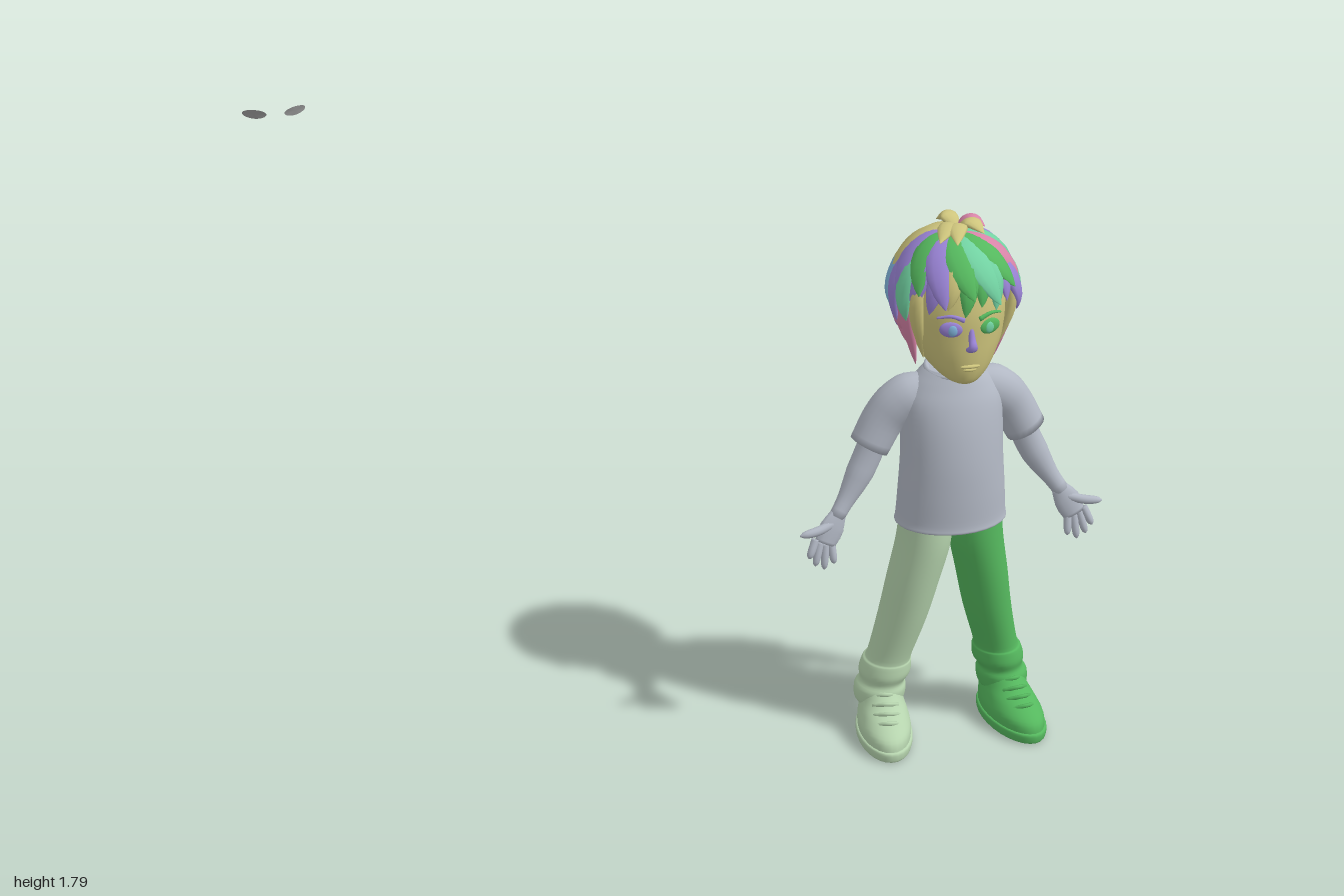
import * as THREE from 'three';

const mat = (name, color, side = THREE.FrontSide) =>
  Object.assign(new THREE.MeshStandardMaterial({ color, side }), { name });
const M = {
  grey: mat('cloth grey', 0xb2b8c4), pale: mat('pale green', 0xb6d4ae), green: mat('green', 0x55b85e),
  sand: mat('sand', 0xcdc47c), purple: mat('purple', 0x9a84d6), pink: mat('pink', 0xd884a8),
  teal: mat('teal', 0x72d2a2), blue: mat('blue', 0x82b6de), orange: mat('orange', 0xd2a07a),
  disc: mat('disc grey', 0x9c9c9c, THREE.DoubleSide),
};
const V = (x, y, z) => new THREE.Vector3(x, y, z);

// Skin a list of rings and close both ends
function loft(rings) {
  const n = rings[0].length, pos = [], idx = [];
  rings.forEach(r => r.forEach(p => pos.push(p.x, p.y, p.z)));
  for (let i = 0; i < rings.length - 1; i++)
    for (let j = 0; j < n; j++) {
      const k = (j + 1) % n, a = i * n + j, b = i * n + k;
      idx.push(a, b, b + n, a, b + n, a + n);
    }
  [rings[0], rings.at(-1)].forEach((r, e) => {
    const c = r.reduce((s, p) => s.add(p), V(0, 0, 0)).divideScalar(n);
    const base = e ? (rings.length - 1) * n : 0, m = pos.length / 3;
    pos.push(c.x, c.y, c.z);
    for (let j = 0; j < n; j++) {
      const k = (j + 1) % n;
      e ? idx.push(m, base + j, base + k) : idx.push(m, base + k, base + j);
    }
  });
  const g = new THREE.BufferGeometry();
  g.setAttribute('position', new THREE.Float32BufferAttribute(pos, 3));
  g.setIndex(idx);
  g.computeVertexNormals();
  return g;
}

// Stacked oval rows, bottom to top: [y, centre x, centre z, radius x, radius z]
function stack(rows, sub = 4, n = 28) {
  const rings = [];
  const mix = (i, t, c) => {
    const at = k => rows[Math.min(Math.max(k, 0), rows.length - 1)][c];
    const p0 = at(i - 1), p1 = at(i), p2 = at(i + 1), p3 = at(i + 2);
    return p1 + 0.5 * t * (p2 - p0 + t * (2 * p0 - 5 * p1 + 4 * p2 - p3 + t * (3 * (p1 - p2) + p3 - p0)));
  };
  for (let s = 0; s <= (rows.length - 1) * sub; s++) {
    const i = Math.min(Math.floor(s / sub), rows.length - 2), t = s / sub - i;
    const [y, cx, cz, rx, rz] = [0, 1, 2, 3, 4].map(c => mix(i, t, c));
    rings.push(Array.from({ length: n }, (_, j) => {
      const a = j / n * Math.PI * 2;
      return V(cx + rx * Math.sin(a), y, cz + rz * Math.cos(a));
    }));
  }
  return loft(rings);
}

// Sweep an oval along points; size(t) gives [half width, half thickness], up(p) the thickness direction
function sweep(points, size, up = () => V(0, 0, 1), steps = 12, n = 12) {
  const curve = new THREE.CatmullRomCurve3(points), rings = [];
  for (let i = 0; i <= steps; i++) {
    const t = i / steps, p = curve.getPoint(t), T = curve.getTangent(t), N = up(p);
    N.addScaledVector(T, -N.dot(T)).normalize();
    const U = N.clone().cross(T), [w, h] = size(t);
    rings.push(Array.from({ length: n }, (_, j) => {
      const a = j / n * Math.PI * 2;
      return p.clone().addScaledVector(U, w * Math.cos(a)).addScaledVector(N, h * Math.sin(a));
    }));
  }
  return loft(rings);
}
const lerpList = (list, t) => {
  const f = t * (list.length - 1), i = Math.min(Math.floor(f), list.length - 2);
  return list[i] + (list[i + 1] - list[i]) * (f - i);
};
// Capsule-like profile with rounded tip
const finger = r => t => { const k = r * Math.sqrt(Math.max(1 - Math.pow(t, 6), 0.02)); return [k, k]; };

function createModel() {
  const root = new THREE.Group(), body = new THREE.Group();
  root.name = 'model';
  body.name = 'character';
  body.position.x = 0.63;
  root.add(body);
  const add = (name, geo, m, parent = body) => {
    const mesh = new THREE.Mesh(geo, m);
    mesh.name = name;
    parent.add(mesh);
    return mesh;
  };
  const ball = (name, m, p, s, ry = 0) => {
    const b = add(name, new THREE.SphereGeometry(1, 20, 14), m);
    b.position.set(...p); b.scale.set(...s); b.rotation.y = ry;
    return b;
  };

  // Shirt body and collar
  add('shirt', stack([[0.553, 0, 0.018, 0.126, 0.094], [0.557, 0, 0.018, 0.134, 0.102], [0.575, 0, 0.018, 0.131, 0.1],
    [0.64, 0, 0.018, 0.127, 0.099], [0.72, 0, 0.014, 0.122, 0.098], [0.8, 0, 0.007, 0.121, 0.092],
    [0.86, 0, 0, 0.118, 0.082], [0.9, 0, -0.005, 0.098, 0.07], [0.925, 0, -0.006, 0.076, 0.06],
    [0.938, 0, -0.006, 0.062, 0.054]]), M.grey);
  const collar = add('collar', new THREE.TorusGeometry(0.06, 0.007, 8, 32), M.grey);
  collar.position.set(0, 0.933, -0.004);
  collar.rotation.x = Math.PI / 2 + 0.15;
  collar.scale.y = 0.9;

  // Neck and head
  add('neck', stack([[0.9, 0, -0.01, 0.05, 0.046], [0.95, 0, -0.008, 0.044, 0.042], [1.02, 0, -0.005, 0.046, 0.046]]), M.sand);
  add('head', stack([[0.934, 0, 0.075, 0.014, 0.02], [0.942, 0, 0.064, 0.038, 0.05], [0.965, 0, 0.042, 0.066, 0.082],
    [1.0, 0, 0.022, 0.09, 0.107], [1.05, 0, 0.01, 0.109, 0.12], [1.12, 0, 0, 0.118, 0.128],
    [1.2, 0, -0.01, 0.102, 0.115], [1.25, 0, -0.015, 0.06, 0.065]]), M.sand);
  add('nose', sweep([V(0, 1.085, 0.122), V(0, 1.06, 0.134), V(0, 1.044, 0.144), V(0, 1.034, 0.13)],
    t => [0.006 + 0.007 * t, 0.008]), M.purple);
  ball('upper lip', M.sand, [0, 0.99, 0.126], [0.024, 0.005, 0.007]);
  ball('lower lip', M.sand, [0, 0.981, 0.122], [0.018, 0.005, 0.008]);

  for (const s of [1, -1]) {
    const side = s > 0 ? 'left' : 'right', legMat = s > 0 ? M.green : M.pale;
    // Eyes, brows and ears
    ball(side + 'Eye', s > 0 ? M.green : M.purple, [s * 0.046, 1.084, 0.119], [0.027, 0.019, 0.008], s * 0.3);
    ball(side + 'Iris', s > 0 ? M.teal : M.blue, [s * 0.044, 1.083, 0.1245], [0.012, 0.014, 0.005], s * 0.3);
    add(side + 'Brow', sweep([V(s * 0.018, 1.108, 0.13), V(s * 0.045, 1.118, 0.124), V(s * 0.075, 1.11, 0.104)],
      t => [0.006 * (1 - 0.6 * t), 0.004]), s > 0 ? M.green : M.purple);
    const ear = ball(side + 'Ear', s > 0 ? M.teal : M.pink, [s * 0.126, 1.073, -0.005], [0.012, 0.036, 0.024], -s * 0.4);
    ear.rotation.z = -s * 0.25;

    // Sleeve and arm
    const sl = [0.04, 0.056, 0.055, 0.051, 0.049];
    add(side + 'Sleeve', sweep([V(s * 0.05, 0.885, -0.008), V(s * 0.11, 0.858, -0.016), V(s * 0.152, 0.815, -0.022), V(s * 0.191, 0.745, -0.018)],
      t => [lerpList(sl, t), lerpList(sl, t) * 0.9], undefined, 14, 20), M.grey);
    const ar = [0.036, 0.034, 0.034, 0.033, 0.028, 0.021, 0.019];
    add(side + 'Arm', sweep([V(s * 0.168, 0.79, -0.02), V(s * 0.2, 0.71, -0.016), V(s * 0.232, 0.65, -0.006), V(s * 0.276, 0.584, 0.012)],
      t => [lerpList(ar, t), lerpList(ar, t) * 0.85], undefined, 14, 16), M.grey);
    // Hand with palm turned forward
    const pw = [0.019, 0.026, 0.031, 0.031, 0.027];
    add(side + 'Palm', sweep([V(s * 0.27, 0.592, 0.01), V(s * 0.288, 0.562, 0.018), V(s * 0.306, 0.525, 0.024)],
      t => [lerpList(pw, t), 0.014]), M.grey);
    [[0.329, 0.538, 0.348, 0.495], [0.318, 0.53, 0.333, 0.474], [0.305, 0.524, 0.311, 0.463], [0.291, 0.524, 0.287, 0.475]]
      .forEach(([x, y, u, v]) => add(side + 'Finger',
        sweep([V(s * x, y, 0.023), V(s * (x + u) / 2, (y + v) / 2, 0.03), V(s * u, v, 0.036)], finger(0.0095)), M.grey));
    add(side + 'Thumb', sweep([V(s * 0.285, 0.572, 0.018), V(s * 0.325, 0.562, 0.03), V(s * 0.37, 0.557, 0.036)], finger(0.011)), M.grey);

    // Trouser leg with rolled cuffs
    add(side + 'Leg', stack([[0.07, 0.156, -0.012, 0.048, 0.055], [0.078, 0.155, -0.014, 0.058, 0.066], [0.108, 0.152, -0.014, 0.061, 0.068],
      [0.127, 0.148, -0.014, 0.053, 0.061], [0.15, 0.142, -0.014, 0.061, 0.067], [0.178, 0.137, -0.013, 0.058, 0.064],
      [0.195, 0.132, -0.01, 0.052, 0.059], [0.3, 0.105, 0, 0.057, 0.069], [0.4, 0.085, 0.01, 0.061, 0.073],
      [0.5, 0.065, 0.018, 0.064, 0.073], [0.575, 0.06, 0.02, 0.062, 0.07]].map(r => [r[0], s * r[1], ...r.slice(2)])), legMat);

    // Shoe, toes turned out
    const shoe = new THREE.Group();
    shoe.name = side + 'Shoe';
    shoe.position.set(s * 0.152, 0, 0);
    shoe.rotation.y = s * 0.15;
    body.add(shoe);
    add('sole', stack([[0, 0, 0.05, 0.056, 0.124], [0.003, 0, 0.05, 0.064, 0.131], [0.022, 0, 0.05, 0.066, 0.132], [0.026, 0, 0.05, 0.058, 0.122]]), legMat, shoe);
    add('upper', stack([[0.018, 0, 0.05, 0.061, 0.127], [0.045, 0, 0.046, 0.062, 0.123], [0.068, 0, 0.028, 0.056, 0.103],
      [0.092, 0, 0.006, 0.048, 0.075], [0.125, 0, -0.012, 0.042, 0.054]]), legMat, shoe);
    for (let i = 0; i < 4; i++) {
      const y = 0.072 + i * 0.013, z = 0.125 - i * 0.023;
      add('lace', sweep([V(-0.03, y - 0.008, z - 0.018), V(0, y + 0.004, z), V(0.03, y - 0.008, z - 0.018)],
        () => [0.005, 0.005], () => V(0, 1, 0), 8, 6), legMat, shoe);
    }
  }

  // Hair: a scalp cap under tapered locks that follow the head
  const cap = add('scalp', new THREE.SphereGeometry(1, 28, 16, 0, Math.PI * 2, 0, Math.PI / 2), M.sand);
  cap.geometry.scale(0.126, 0.135, 0.137);
  cap.position.set(0, 1.12, -0.012);
  cap.rotation.x = -0.5;
  const D = Math.PI / 180, mid = V(0, 1.12, -0.01);
  const onHead = (th, phi, lift) => {
    const low = Math.max(phi - 90, 0) / 60;
    const r = Math.sin(Math.min(phi, 90) * D) * (1 - 0.3 * low) + lift;
    const y = phi < 90 ? 1.12 + 0.147 * Math.cos(phi * D) : 1.12 - 0.14 * low;
    return V(0.138 * r * Math.sin(th * D), y, -0.01 + 0.149 * r * Math.cos(th * D));
  };
  const lock = (th, from, to, w, color, swirl = 16, flare = 0.1) => {
    const pts = [0, 0.25, 0.5, 0.75, 1].map(t =>
      onHead(th + swirl * (t - 1), from + (to - from) * t, flare * t * t));
    const size = t => {
      const k = Math.max(Math.pow(Math.sin(Math.PI * Math.pow(0.06 + 0.94 * t, 0.8)), 0.7) || 0, 0.03);
      return [w * k, 0.014 * k];
    };
    add('hairLock', sweep(pts, size, p => p.clone().sub(mid), 12, 10), M[color]);
  };
  // Crown, starting at the front and going round by the left
  ['green', 'teal', 'green', 'pink', 'teal', 'purple', 'blue', 'blue', 'sand', 'sand', 'sand', 'purple', 'green', 'purple']
    .forEach((c, i) => lock(i * 360 / 14, 6, 74 + 8 * (i % 2), 0.036, c, 28));
  // Middle, left side round the back to the right side
  ['purple', 'teal', 'purple', 'blue', 'blue', 'orange', 'sand', 'sand', 'purple', 'sand', 'blue', 'purple', 'teal']
    .forEach((c, i) => lock(66 + i * 19, 42, 104 + 9 * (i % 2), 0.031, c, 12, 0.12));
  // Lower back and nape
  ['purple', 'orange', 'blue', 'orange', 'sand', 'sand', 'sand', 'orange', 'sand', 'pink', 'purple']
    .forEach((c, i) => lock(105 + i * 15, 72, 128 + 7 * (i % 2), 0.027, c, 6, 0.1));
  ['purple', 'orange', 'orange', 'sand', 'orange', 'sand', 'sand', 'pink', 'pink']
    .forEach((c, i) => lock(112 + i * 17, 98, 148 + 6 * (i % 2), 0.022, c, 3, 0.04));
  // Fringe
  [[-62, 98, 'purple'], [-42, 90, 'purple'], [-24, 84, 'sand'], [-8, 90, 'green'], [8, 82, 'green'], [24, 88, 'teal'], [40, 84, 'purple'], [58, 98, 'sand']]
    .forEach(([th, to, c]) => lock(th, 28, to, 0.026, c, -10, 0.02));
  // Long locks in front of the ears
  for (const s of [1, -1]) {
    lock(s * 76, 50, 160, 0.024, 'pink', s * 4, 0.05);
    lock(s * 60, 55, 148, 0.018, 'sand', s * 4, 0);
  }
  // Tuft on the crown
  [[-0.055, 0.05, 'sand'], [-0.02, 0.07, 'sand'], [0.06, 0.02, 'sand'], [0.075, -0.02, 'pink'], [-0.02, -0.09, 'sand']].forEach(([x, z, c]) =>
    add('tuft', sweep([V(0.015, 1.262, -0.04), V(0.01 + x * 0.5, 1.281, -0.03 + z * 0.5), V(x, 1.268, z)],
      t => { const k = Math.max(Math.sin(Math.PI * (0.08 + 0.92 * t)), 0.04); return [0.024 * k, 0.011 * k]; },
      () => V(0, 1, 0)), M[c]));

  // Two small curved discs floating to one side
  for (const s of [1, -1]) {
    const g = new THREE.CircleGeometry(1, 28), p = g.attributes.position;
    for (let i = 0; i < p.count; i++) {
      const dx = s * 0.043 + p.getX(i) * 0.024, dy = p.getY(i) * 0.011;
      p.setXYZ(i, -0.933 + dx, 1.775 + dy, 0.161 - 5.6 * dx * dx + 0.3 * dy);
    }
    g.computeVertexNormals();
    add(s > 0 ? 'leftDisc' : 'rightDisc', g, M.disc, root);
  }
  return root;
}

export { createModel };
